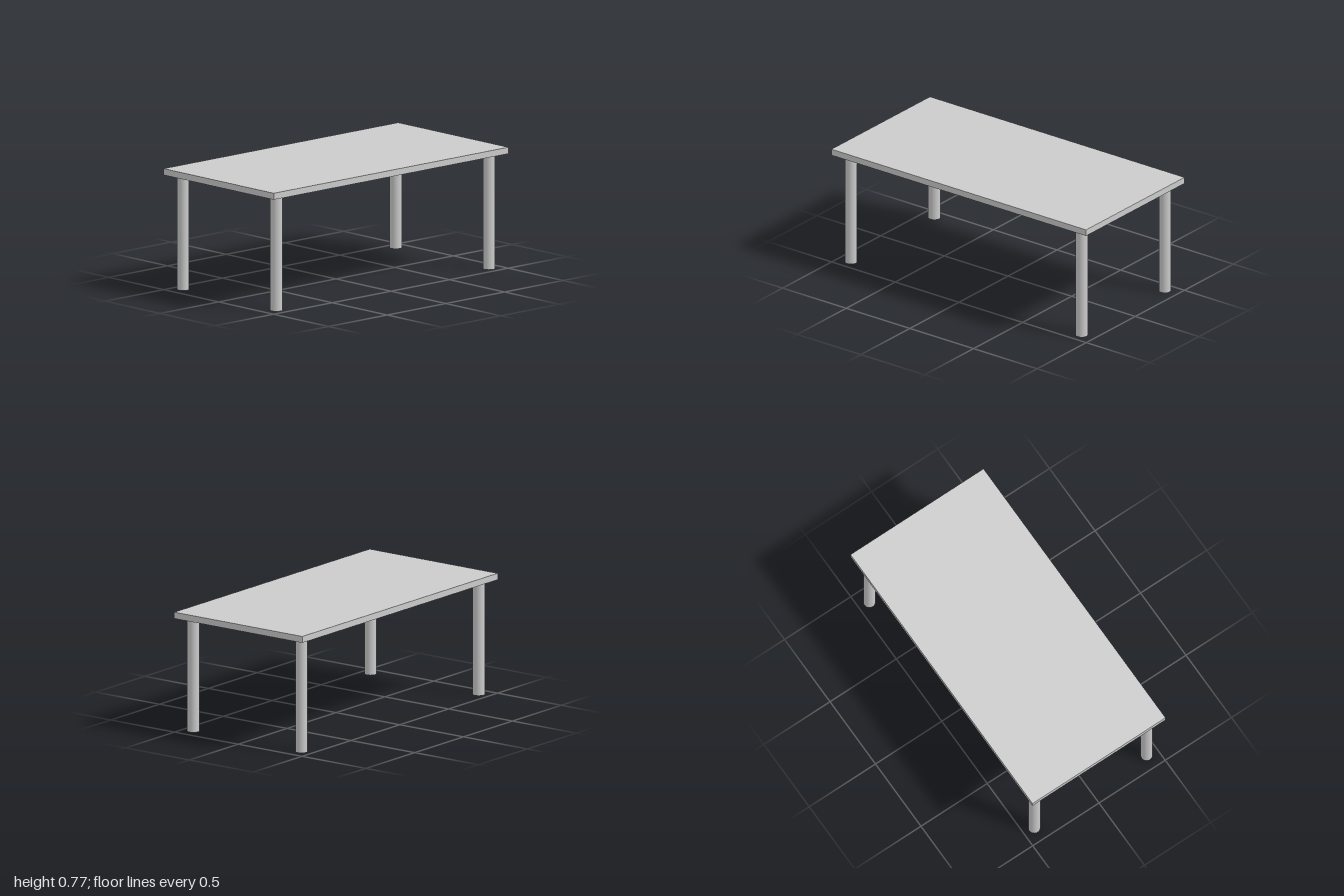
import * as THREE from 'three';

const HEIGHT = 0.77, THICKNESS = 0.041, LEG_RADIUS = 0.038;
const LEG_X = 0.906, LEG_Z = 0.424;

export function createModel() {
  const table = new THREE.Group();
  table.name = 'table';
  const topMaterial = new THREE.MeshStandardMaterial({ color: 0xcccccc });
  const legMaterial = new THREE.MeshStandardMaterial({ color: 0xcccccc, side: THREE.DoubleSide });

  // Flat rectangular slab
  const top = new THREE.Mesh(new THREE.BoxGeometry(2, THICKNESS, 1.004), topMaterial);
  top.name = 'tableTop';
  top.position.y = HEIGHT - THICKNESS / 2;
  table.add(top);

  // Four round tube legs, open at the ends
  const legHeight = HEIGHT - THICKNESS;
  const legGeometry = new THREE.CylinderGeometry(LEG_RADIUS, LEG_RADIUS, legHeight, 32, 1, true);
  for (const [zName, z] of [['front', LEG_Z], ['back', -LEG_Z]]) {
    for (const [xName, x] of [['Left', LEG_X], ['Right', -LEG_X]]) {
      const leg = new THREE.Mesh(legGeometry, legMaterial);
      leg.name = `${zName}${xName}Leg`;
      leg.position.set(x, legHeight / 2, z);
      table.add(leg);
    }
  }
  return table;
}
